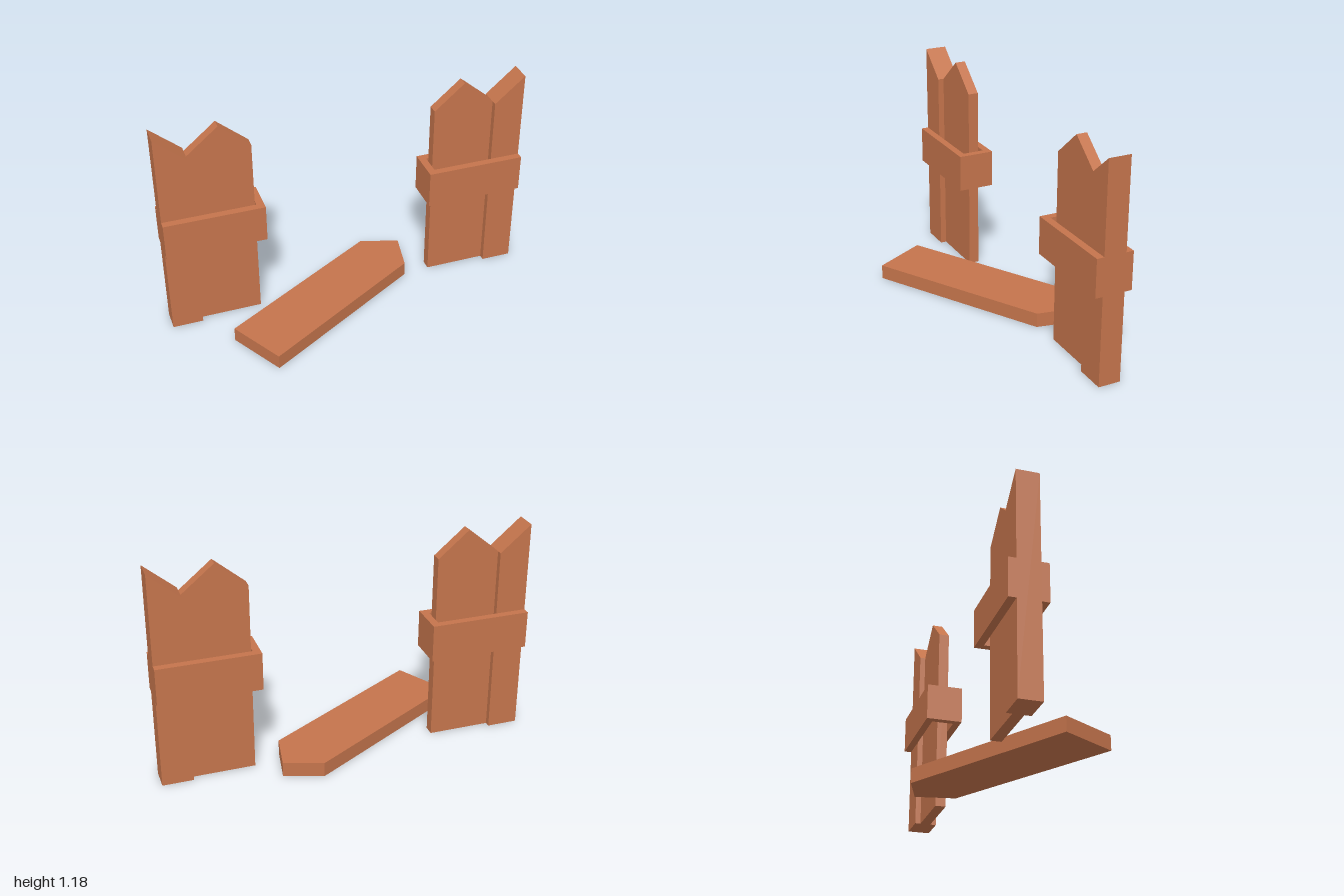
import * as THREE from 'three';

const wood = new THREE.MeshStandardMaterial({ color: 0xc4744c, flatShading: true });

// Extrudes an outline along +z
function extrude(points, depth) {
  const shape = new THREE.Shape(points.map(([x, y]) => new THREE.Vector2(x, y)));
  return new THREE.ExtrudeGeometry(shape, { depth, bevelEnabled: false });
}

// Upright board: outline in x/y, between two z values
function upright(points, z0, z1) {
  return extrude(points, z1 - z0).translate(0, 0, z0);
}

// Flat board: outline in x/z, between two heights
function flat(points, y0, y1) {
  return extrude(points.map(([x, z]) => [x, -z]), y1 - y0).rotateX(-Math.PI / 2).translate(0, y0, 0);
}

function part(parent, name, geometry) {
  const mesh = new THREE.Mesh(geometry, wood);
  mesh.name = name;
  parent.add(mesh);
}

export function createModel() {
  const model = new THREE.Group();
  model.name = 'brokenFence';

  // Two mirrored fence ends
  for (const s of [-1, 1]) {
    const side = new THREE.Group();
    side.name = s > 0 ? 'leftFence' : 'rightFence';
    const mirror = (points) => points.map(([x, y]) => [s * x, y]);

    // Thick half picket, cut at the outer edge
    part(side, 'halfPicket', upright(
      mirror([[0.835, 0], [1, 0], [1, 1.18], [0.835, 1.04]]), -0.22, -0.1));

    // Thinner pointed picket
    part(side, 'pointedPicket', upright(
      mirror([[0.5, 0], [0.835, 0], [0.835, 1.04], [0.665, 1.18], [0.5, 1.04]]), -0.19, -0.133));

    // U-shaped rail wrapped around the pickets, open at the outer end
    part(side, 'rail', flat(
      mirror([[1, -0.26], [0.46, -0.26], [0.46, -0.06], [1, -0.06],
        [1, -0.1], [0.5, -0.1], [0.5, -0.22], [1, -0.22]]), 0.49, 0.695));

    model.add(side);
  }

  // Picket lying on the ground in the gap
  part(model, 'fallenPicket', flat(
    [[-0.71, 0.112], [-0.548, 0.4], [0.35, -0.118], [0.39, -0.332], [0.185, -0.402]], 0, 0.08));

  return model;
}
